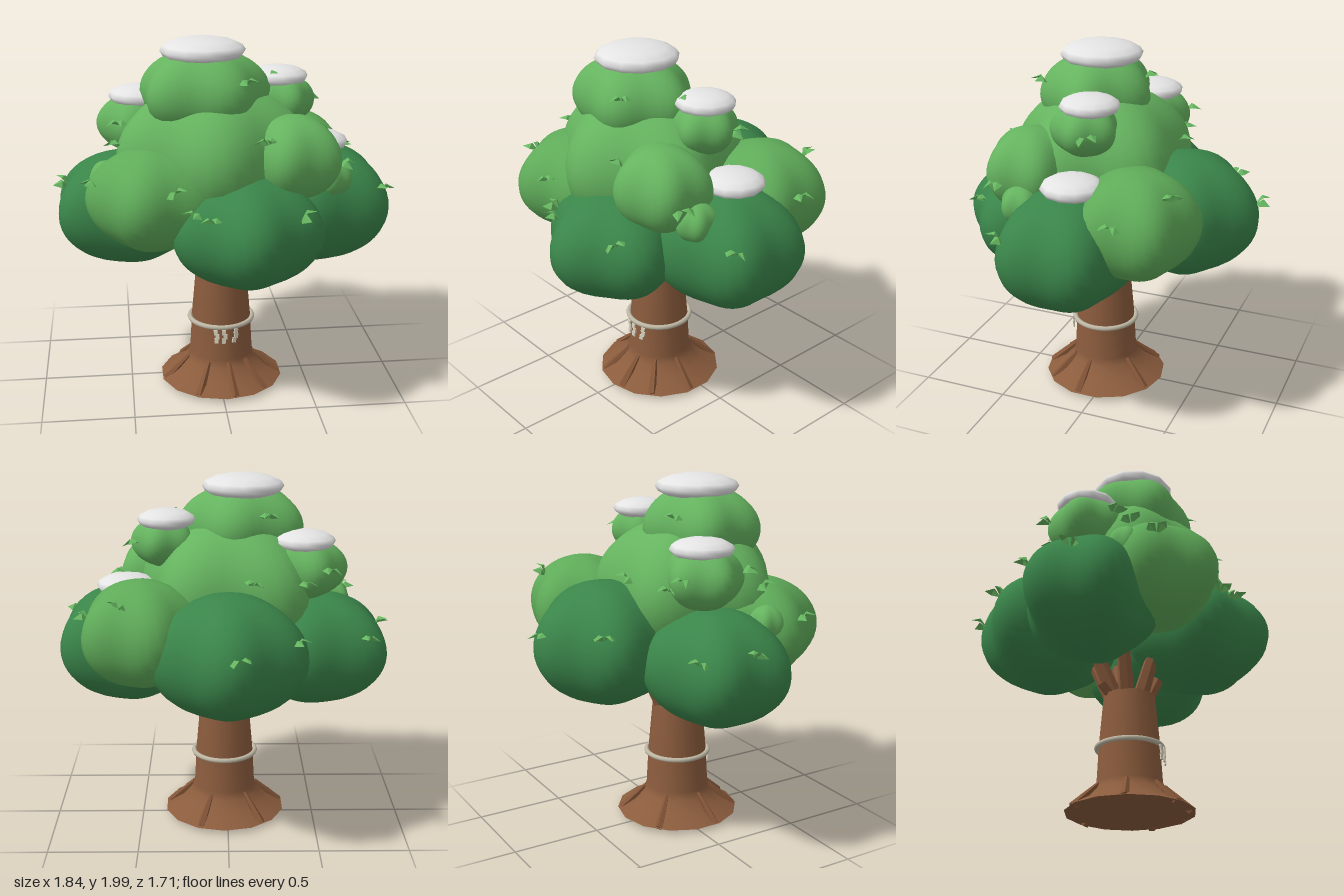
import * as THREE from 'three';
import { mergeVertices } from 'three/addons/utils/BufferGeometryUtils.js';

const paint = (name, color) => {
  const m = new THREE.MeshStandardMaterial({ color });
  m.name = name;
  return m;
};
const rad = THREE.MathUtils.degToRad;

// Smooth sphere whose sides swell into five upright lobes
const LOBES = 5, SWELL = 0.085;
const lobe = (az, flat, phase) => 1 + SWELL * Math.cos(LOBES * (az - rad(phase))) * flat;

function blobGeometry(rx, ry, rz, phase) {
  let g = new THREE.SphereGeometry(1, 40, 24);
  g.deleteAttribute('uv');
  g.deleteAttribute('normal');
  const p = g.attributes.position;
  for (let i = 0; i < p.count; i++) {
    const x = p.getX(i), y = p.getY(i), z = p.getZ(i);
    const k = lobe(Math.atan2(z, x), Math.hypot(x, z), phase);
    p.setXYZ(i, x * k * rx, y * ry, z * k * rz);
  }
  g = mergeVertices(g, 1e-4);
  g.computeVertexNormals();
  return g;
}

// Pair of arched pointed blades reaching out along +z
function leafGeometry() {
  const v = [];
  for (const s of [1, -1]) {
    const edge = [[0, -0.005, -0.015], [s * 0.006, 0.02, 0.04], [s * 0.045, -0.008, 0.07], [s * 0.054, 0.006, 0.018]];
    if (s < 0) edge.reverse();
    const mid = [s * 0.028, 0.028, 0.03];
    edge.forEach((p, i) => v.push(...p, ...edge[(i + 1) % 4], ...mid));
  }
  const g = new THREE.BufferGeometry();
  g.setAttribute('position', new THREE.Float32BufferAttribute(v, 3));
  g.computeVertexNormals();
  return g;
}

export function createModel() {
  const model = new THREE.Group();
  model.name = 'tree';
  const darkGreen = paint('dark foliage', 0x3a854a);
  const midGreen = paint('mid foliage', 0x5fab59);
  const lightGreen = paint('light foliage', 0x65b35f);
  const leafGreen = paint('leaf green', 0x66b660);
  leafGreen.side = THREE.DoubleSide;
  const white = paint('snow white', 0xe4e4e4);
  const bark = paint('bark brown', 0x8b5c3d);
  bark.side = THREE.DoubleSide;
  const rootBrown = paint('root brown', 0x835537);
  const rope = paint('rope grey', 0xbeb7a4);
  const paper = paint('paper cream', 0xdcd5c0);

  const add = (parent, name, geometry, material, x = 0, y = 0, z = 0) => {
    const m = new THREE.Mesh(geometry, material);
    m.name = name;
    m.position.set(x, y, z);
    parent.add(m);
    return m;
  };
  // Tapered limb between two points
  const limb = (parent, name, a, b, ra, rb, material, sides = 6) => {
    const A = new THREE.Vector3(...a), d = new THREE.Vector3(...b).sub(A);
    const g = new THREE.CylinderGeometry(rb, ra, d.length(), sides).toNonIndexed();
    g.computeVertexNormals();
    const m = add(parent, name, g, material);
    m.position.copy(A).addScaledVector(d, 0.5);
    m.quaternion.setFromUnitVectors(new THREE.Vector3(0, 1, 0), d.normalize());
  };

  // Trunk with a flared foot
  const base = new THREE.Group();
  base.name = 'trunkGroup';
  base.position.set(0.018, 0, 0.048);
  model.add(base);
  const profile = [[0.35, 0.028], [0.25, 0.085], [0.198, 0.14], [0.18, 0.18], [0.168, 0.4], [0.143, 0.68]];
  add(base, 'trunk', new THREE.LatheGeometry(profile.map(([x, y]) => new THREE.Vector2(x, y)), 14), bark);
  const foot = add(base, 'trunkFoot', new THREE.CircleGeometry(0.35, 14), bark, 0, 0.028, 0);
  foot.rotation.set(Math.PI / 2, 0, Math.PI / 2);
  const top = add(base, 'trunkTop', new THREE.CircleGeometry(0.143, 14), bark, 0, 0.68, 0);
  top.rotation.set(-Math.PI / 2, 0, Math.PI / 2);

  // Roots half buried in the flare, azimuth from +x toward +z
  for (const az of [8, 48, 82, 118, 170, 230, 295]) {
    const c = Math.cos(rad(az)), s = Math.sin(rad(az));
    limb(base, 'root', [c * 0.325, 0.024, s * 0.325], [c * 0.182, 0.165, s * 0.182], 0.026, 0.012, rootBrown, 5);
  }

  // Branches fanning into the crown
  for (let i = 0; i < 7; i++) {
    const t = rad(i * 51.4 + 20), c = Math.cos(t), s = Math.sin(t);
    limb(base, 'branch', [c * 0.06, 0.6, s * 0.06], [c * 0.23, 0.95, s * 0.23], 0.048, 0.034, bark);
  }
  limb(base, 'branchStub', [-0.02, 0.6, -0.02], [-0.12, 0.74, -0.12], 0.04, 0.032, bark);

  // Rope ring with folded paper strips
  add(base, 'ropeRing', new THREE.TorusGeometry(0.178, 0.014, 8, 40), rope, 0, 0.385, 0).rotation.x = Math.PI / 2;
  for (const [x, tilt] of [[-0.05, 0.08], [-0.003, 0], [0.068, -0.2]]) {
    const strip = new THREE.Group();
    strip.name = 'paperStrip';
    strip.position.set(x, 0.375, Math.sqrt(0.19 ** 2 - x * x));
    strip.rotation.set(0, Math.atan2(x, 0.19), tilt);
    base.add(strip);
    for (let i = 0; i < 3; i++)
      add(strip, 'paperFold', new THREE.BoxGeometry(0.022, 0.03, 0.008), paper, (i % 2) * 0.007, -0.015 - i * 0.026, 0);
  }

  // Crown: centre, radii, lobe phase in degrees, material
  const blobs = {
    lowerFront: [[0.115, 1.03, 0.41], [0.38, 0.3, 0.38], 90, darkGreen],
    lowerLeft: [[0.55, 1.06, 0.04], [0.4, 0.33, 0.36], 36, darkGreen],
    lowerRight: [[-0.485, 1.045, -0.03], [0.41, 0.315, 0.35], 144, darkGreen],
    lowerBack: [[0, 1.115, -0.42], [0.4, 0.335, 0.38], -90, darkGreen],
    middleRight: [[-0.36, 1.19, 0.295], [0.335, 0.28, 0.335], 180, midGreen],
    middleBack: [[0.465, 1.21, -0.31], [0.32, 0.29, 0.31], -108, midGreen],
    middleLeft: [[0.37, 1.395, 0.32], [0.25, 0.225, 0.235], 36, lightGreen],
    core: [[-0.03, 1.37, 0.08], [0.5, 0.395, 0.465], 90, lightGreen],
    crownTop: [[-0.085, 1.71, 0.125], [0.335, 0.235, 0.29], 66, lightGreen],
    upperLeft: [[0.35, 1.64, 0.02], [0.168, 0.14, 0.17], 0, lightGreen],
    upperRight: [[-0.415, 1.51, -0.07], [0.22, 0.17, 0.2], 180, lightGreen],
    sideTuft: [[0.59, 1.27, 0.28], [0.1, 0.105, 0.11], 30, lightGreen],
    sideTuftRight: [[-0.61, 1.27, 0.2], [0.09, 0.1, 0.09], 150, lightGreen],
  };
  for (const [name, [c, r, phase, mat]] of Object.entries(blobs))
    add(model, name, blobGeometry(...r, phase), mat, ...c);

  // Snow caps sunk over the blob tops
  const caps = [[-0.085, 1.93, 0.105, 0.228, 0.07], [0.335, 1.765, 0, 0.16, 0.058],
    [-0.415, 1.66, -0.075, 0.17, 0.06], [0.56, 1.397, 0.005, 0.167, 0.062]];
  for (const [x, y, z, r, h] of caps)
    add(model, 'snowCap', new THREE.SphereGeometry(1, 12, 8), white, x, y, z).scale.set(r, h, r);

  // Leaf tufts: blob, azimuth from +x toward +z, elevation
  const leaves = [['lowerRight', 180, 25], ['lowerBack', -97, 15], ['lowerBack', -150, 20],
    ['lowerLeft', 40, 22], ['lowerFront', 40, 25], ['lowerFront', 128, 25], ['lowerFront', 145, 28],
    ['lowerRight', -130, 20], ['middleRight', 72, 20], ['middleRight', 165, 20], ['middleBack', 5, 15],
    ['middleBack', -65, 40], ['middleLeft', 135, 28], ['middleLeft', 20, -5], ['core', -135, 12],
    ['core', -102, 15], ['core', 165, 12], ['crownTop', 55, 20], ['crownTop', -115, 18],
    ['crownTop', -8, 15], ['upperLeft', -25, 0], ['upperRight', 120, 10], ['upperRight', -120, 5]];
  const leaf = leafGeometry();
  leaves.forEach(([name, az, el], i) => {
    const [c, r, phase] = blobs[name], a = rad(az), e = rad(el), f = Math.cos(e);
    const k = lobe(a, f, phase) * f;
    const m = add(model, 'leafTuft', leaf, leafGreen,
      c[0] + Math.cos(a) * k * r[0], c[1] + Math.sin(e) * r[1], c[2] + Math.sin(a) * k * r[2]);
    m.lookAt(m.position.clone().add(new THREE.Vector3(Math.cos(a) * f, Math.sin(e), Math.sin(a) * f)));
    m.rotateZ(rad(((i * 37) % 50) - 25));
  });
  return model;
}
